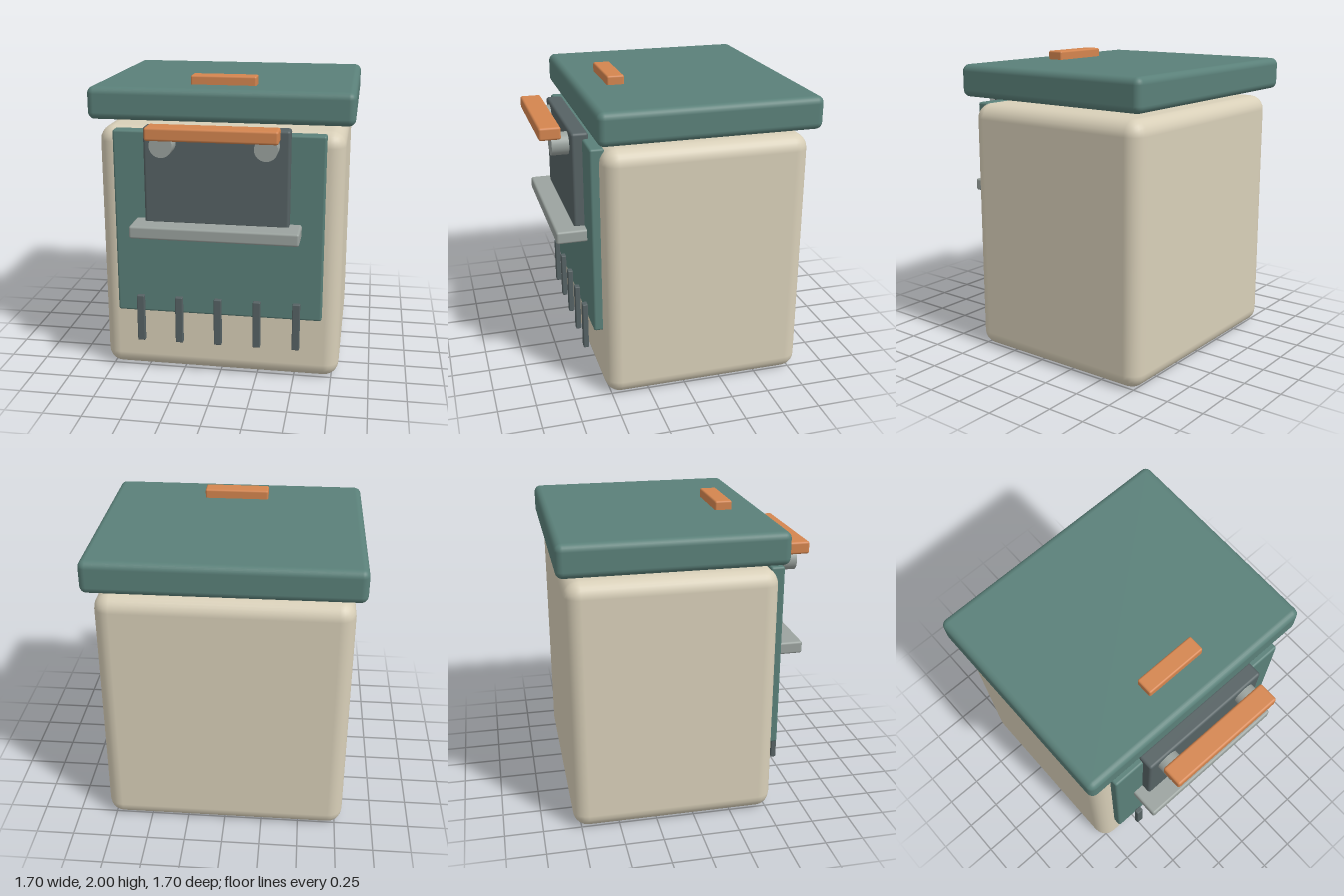
import * as THREE from 'three';
import { RoundedBoxGeometry } from 'three/addons/geometries/RoundedBoxGeometry.js';

const paint = (color) => new THREE.MeshStandardMaterial({ color });

export function createModel() {
  const model = new THREE.Group();
  const cream = paint(0xd8cfb8);
  const teal = paint(0x5a8079);
  const dark = paint(0x566264);
  const steel = paint(0x9ba39f);
  const orange = paint(0xd4854f);

  // Rounded block given by its extents on each axis
  function block(name, material, [x0, x1], [y0, y1], [z0, z1], radius, segments = 3) {
    const geometry = new RoundedBoxGeometry(x1 - x0, y1 - y0, z1 - z0, segments, radius);
    const mesh = new THREE.Mesh(geometry, material);
    mesh.name = name;
    mesh.position.set((x0 + x1) / 2, (y0 + y1) / 2, (z0 + z1) / 2);
    model.add(mesh);
    return mesh;
  }

  // Main bin, lid and the spacer between them
  block('body', cream, [-0.797, 0.797], [0.005, 1.685], [-0.8, 0.535], 0.1);
  block('lidSpacer', dark, [-0.4, 0.4], [1.692, 1.76], [-0.565, 0.122], 0.015);
  block('lid', teal, [-0.85, 0.85], [1.732, 1.942], [-0.847, 0.573], 0.045);
  block('lidHandle', orange, [-0.213, 0.213], [1.92, 2.0], [0.256, 0.37], 0.012);

  // Front door, raised hatch and shelf
  block('frontPanel', teal, [-0.68, 0.68], [0.448, 1.677], [0.5, 0.592], 0.015);
  block('hatch', dark, [-0.463, 0.463], [1.09, 1.717], [0.55, 0.66], 0.018);
  block('shelf', steel, [-0.538, 0.538], [1.02, 1.103], [0.57, 0.788], 0.015);

  // Pull handle on two round mounts
  block('pullHandle', orange, [-0.408, 0.408], [1.667, 1.75], [0.71, 0.85], 0.015);
  for (const side of [-1, 1]) {
    const mount = new THREE.Mesh(new THREE.CylinderGeometry(0.073, 0.073, 0.13, 32), steel);
    mount.name = side > 0 ? 'leftHandleMount' : 'rightHandleMount';
    mount.rotation.x = Math.PI / 2;
    mount.position.set(side * 0.325, 1.62, 0.705);
    model.add(mount);
  }

  // Row of vent bars, standing slightly off the front
  for (let i = -2; i <= 2; i++) {
    const x = i * 0.2585;
    block('ventBar', dark, [x - 0.025, x + 0.025], [0.253, 0.573], [0.602, 0.637], 0.006);
  }

  return model;
}
